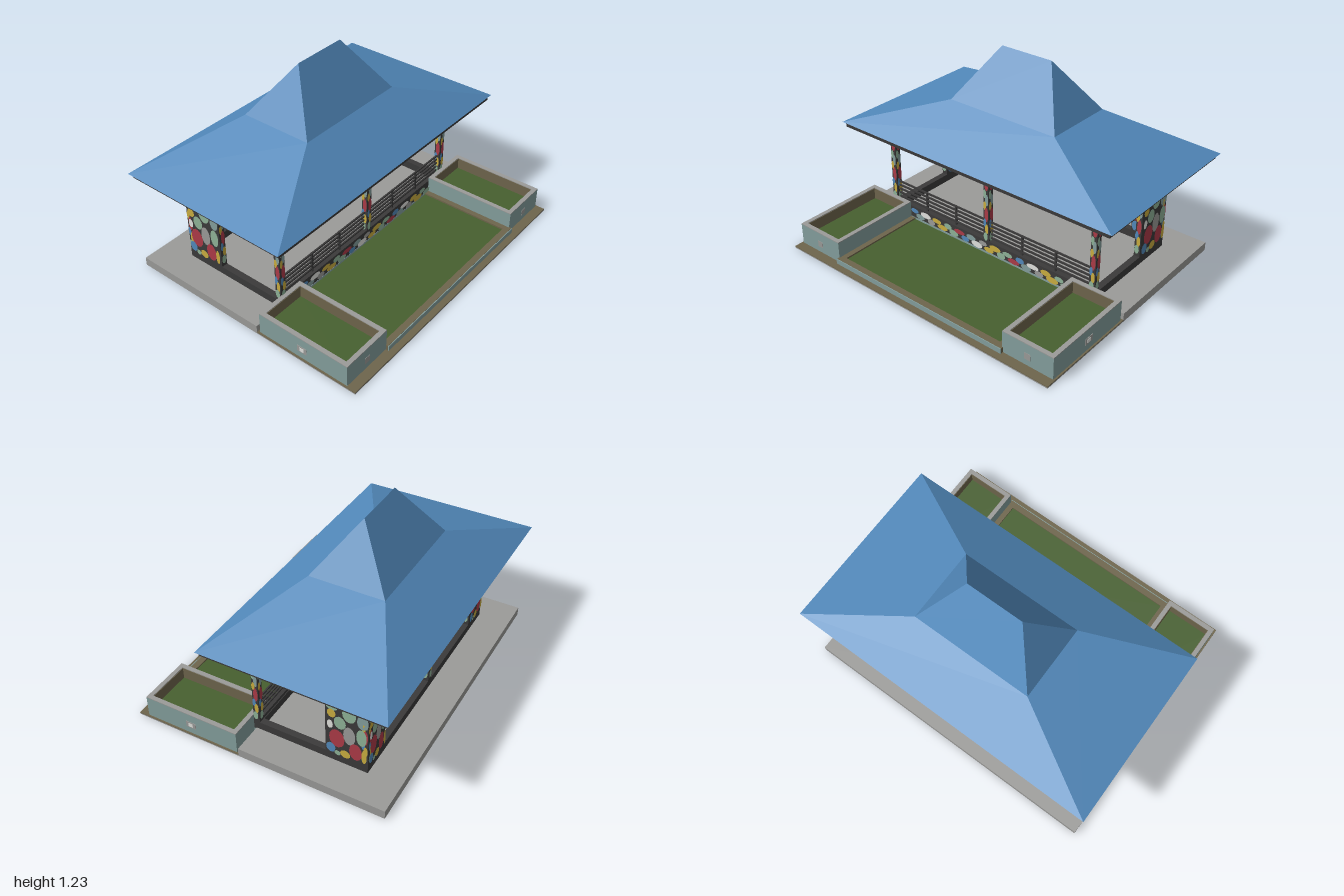
import * as THREE from 'three';
import { mergeGeometries } from 'three/addons/utils/BufferGeometryUtils.js';

const COLOURS = {
  blue: 0x5289bb, charcoal: 0x3b3a3a, teal: 0x849f9d, grey: 0x9b9b99, grass: 0x47602f,
  earth: 0x6e654c, red: 0xad3b48, yellow: 0xcbae40, sage: 0x8fb398, white: 0xe2e2de,
};

export function createModel() {
  const model = new THREE.Group();
  model.name = 'gardenPavilion';
  const mats = {};
  for (const [name, color] of Object.entries(COLOURS)) {
    mats[name] = new THREE.MeshStandardMaterial({ color });
    mats[name].name = name;
  }

  const add = (name, geometry, colour) => {
    const mesh = new THREE.Mesh(geometry, mats[colour]);
    mesh.name = name;
    model.add(mesh);
    return mesh;
  };
  // Box given by its limits on each axis
  const box = (name, colour, x0, x1, y0, y1, z0, z1) =>
    add(name, new THREE.BoxGeometry(x1 - x0, y1 - y0, z1 - z0)
      .translate((x0 + x1) / 2, (y0 + y1) / 2, (z0 + z1) / 2), colour);
  // Rectangular frame lying flat, with wall thickness t
  const ring = (name, colour, x0, x1, y0, y1, z0, z1, t) => {
    const rect = (a, b, c, d) => [[a, c], [b, c], [b, d], [a, d]].map((p) => new THREE.Vector2(...p));
    const shape = new THREE.Shape(rect(x0, x1, -z1, -z0));
    shape.holes.push(new THREE.Path(rect(x0 + t, x1 - t, -z1 + t, -z0 - t).reverse()));
    const g = new THREE.ExtrudeGeometry(shape, { depth: y1 - y0, bevelEnabled: false });
    return add(name, g.rotateX(-Math.PI / 2).translate(0, y0, 0), colour);
  };

  // Mosaic stones, gathered by colour and merged at the end
  const stones = {};
  const mosaic = (list, x, z, width, turn) => {
    list.forEach(([u, y, ru, ry, colour], i) => {
      const g = new THREE.CircleGeometry(1, 14).scale(ru * width, ry, 1)
        .translate((u - 0.5) * width, y, 0.0015 + i * 0.0003).rotateY(turn).translate(x, 0, z);
      (stones[colour] ??= []).push(g);
    });
  };
  const PANEL = [
    [0.84, 0.52, 0.14, 0.045, 'sage'], [0.16, 0.45, 0.14, 0.03, 'sage'],
    [0.56, 0.43, 0.16, 0.055, 'sage'], [0.86, 0.41, 0.12, 0.05, 'teal'],
    [0.38, 0.51, 0.19, 0.06, 'red'], [0.15, 0.4, 0.1, 0.03, 'yellow'],
    [0.66, 0.495, 0.06, 0.025, 'white'], [0.35, 0.35, 0.14, 0.045, 'sage'],
    [0.85, 0.3, 0.12, 0.06, 'sage'], [0.28, 0.23, 0.18, 0.065, 'red'],
    [0.57, 0.28, 0.14, 0.065, 'grey'], [0.12, 0.32, 0.07, 0.03, 'white'],
    [0.72, 0.18, 0.15, 0.06, 'red'], [0.14, 0.15, 0.11, 0.035, 'blue'],
    [0.48, 0.135, 0.12, 0.028, 'yellow'], [0.92, 0.17, 0.06, 0.05, 'yellow'],
    [0.3, 0.125, 0.07, 0.018, 'sage'],
  ];
  const STRIP = [
    [0.6, 0.52, 0.38, 0.045, 'red'], [0.3, 0.45, 0.28, 0.03, 'sage'], [0.68, 0.41, 0.3, 0.04, 'teal'],
    [0.3, 0.37, 0.28, 0.03, 'yellow'], [0.6, 0.31, 0.36, 0.05, 'red'], [0.3, 0.25, 0.28, 0.03, 'blue'],
    [0.65, 0.21, 0.32, 0.035, 'yellow'], [0.45, 0.155, 0.4, 0.03, 'sage'],
  ];
  // Upright block faced with mosaic on all four sides
  const mosaicBlock = (name, x0, x1, z0, z1) => {
    box(name, 'charcoal', x0, x1, 0.1, 0.575, z0, z1);
    const w = x1 - x0, d = z1 - z0, cx = (x0 + x1) / 2, cz = (z0 + z1) / 2;
    const pick = (size) => (size > 0.1 ? PANEL : STRIP);
    mosaic(pick(w), cx, z1, w, 0);
    mosaic(pick(w), cx, z0, w, Math.PI);
    mosaic(pick(d), x1, cz, d, Math.PI / 2);
    mosaic(pick(d), x0, cz, d, -Math.PI / 2);
  };

  // Floor slab and front ground
  box('floorSlab', 'grey', -0.98, 0.98, 0, 0.055, -0.8, 0.11);
  box('frontGround', 'grey', -0.98, 0.98, 0, 0.007, 0.11, 0.8);
  box('groundSurface', 'earth', -0.98, 0.98, 0.007, 0.012, 0.11, 0.8);
  ring('lowKerb', 'charcoal', -0.79, 0.79, 0.055, 0.105, -0.6, 0.12, 0.04);

  // Lawn with its border
  box('lawn', 'grass', -0.6, 0.6, 0.012, 0.035, 0.125, 0.716);
  for (const s of [-1, 1]) box('lawnSideBorder', 'earth', s * 0.62 - 0.02, s * 0.62 + 0.02, 0.01, 0.045, 0.125, 0.755);
  box('lawnFrontBorder', 'earth', -0.6, 0.6, 0.01, 0.045, 0.715, 0.755);
  box('borderFace', 'teal', -0.64, 0.64, 0.008, 0.044, 0.755, 0.76);

  // Planters with side lamps
  for (const s of [-1, 1]) {
    const a = s > 0 ? 0.635 : -0.97, b = a + 0.335;
    ring('planterWall', 'teal', a, b, 0.01, 0.147, 0.125, 0.74, 0.026);
    ring('planterRim', 'grey', a, b, 0.147, 0.152, 0.125, 0.74, 0.028);
    ring('planterLining', 'earth', a + 0.025, b - 0.025, 0.012, 0.147, 0.15, 0.715, 0.006);
    box('planterGrass', 'grass', a + 0.028, b - 0.028, 0.012, 0.075, 0.153, 0.712);
    const side = s * 0.971, mid = s * 0.803;
    box('lampPlate', 'grey', side - 0.002, side + 0.002, 0.055, 0.095, 0.4, 0.465);
    box('lampGlass', 'white', side - 0.004, side + 0.004, 0.063, 0.087, 0.418, 0.447);
    box('frontLampPlate', 'grey', mid - 0.02, mid + 0.02, 0.05, 0.09, 0.739, 0.742);
  }

  // Front parapet with two rows of pebbles
  box('parapetBase', 'teal', -0.79, 0.79, 0.012, 0.048, 0.11, 0.127);
  box('parapet', 'charcoal', -0.79, 0.79, 0.048, 0.125, 0.085, 0.125);
  const cycle = ['blue', 'sage', 'yellow', 'grey', 'teal', 'red', 'sage', 'yellow', 'white'];
  const pebbles = [];
  for (let i = 0; i < 26; i++) {
    const low = i % 2;
    pebbles.push([0.5 + (-0.6 + i * 0.048) / 1.58, low ? 0.069 : 0.097,
      (0.032 + (i % 3) * 0.006) / 1.58, 0.017 + (i % 4) * 0.0015, cycle[(i * 4) % 9]]);
  }
  mosaic(pebbles, 0, 0.125, 1.58, 0);

  // Railing
  for (let i = 0; i < 5; i++) {
    const y = 0.145 + i * 0.0275;
    box('railBar', 'charcoal', -0.76, 0.76, y - 0.005, y + 0.005, 0.1, 0.11);
  }
  for (const x of [-0.505, -0.26, 0.26, 0.505]) box('railPost', 'charcoal', x - 0.006, x + 0.006, 0.12, 0.26, 0.099, 0.111);

  // Posts and L-shaped rear corner piers
  for (const x of [-0.77, 0, 0.77]) mosaicBlock('frontPost', x - 0.02, x + 0.02, 0.085, 0.125);
  mosaicBlock('rearPost', -0.02, 0.02, -0.6, -0.56);
  for (const s of [-1, 1]) {
    const a = s > 0 ? 0.59 : -0.79;
    mosaicBlock('rearPier', a, a + 0.2, -0.6, -0.56);
    mosaicBlock('sidePier', s * 0.77 - 0.02, s * 0.77 + 0.02, -0.6, -0.34);
  }
  for (const [colour, list] of Object.entries(stones)) add(colour + 'Stones', mergeGeometries(list), colour);

  // Hanging picture board
  box('boardFrame', 'grey', 0.2, 0.36, 0.495, 0.565, -0.592, -0.58);
  for (const [z, turn] of [[-0.578, 0], [-0.594, Math.PI]]) {
    const hill = new THREE.CircleGeometry(1, 16, 0, Math.PI).scale(0.038, 0.03, 1);
    add('boardHill', hill.rotateY(turn).translate(0.28, 0.503, z), 'grass');
  }

  // Ring beam, soffit and fascia
  ring('ringBeam', 'teal', -0.79, 0.79, 0.57, 0.65, -0.6, 0.125, 0.045);
  box('soffit', 'grey', -0.975, 0.975, 0.647, 0.651, -0.785, 0.305);
  box('fascia', 'charcoal', -0.98, 0.98, 0.65, 0.678, -0.79, 0.31);
  add('eavesUnderside', new THREE.PlaneGeometry(2, 1.13).rotateX(Math.PI / 2).translate(0, 0.68, -0.243), 'charcoal');

  // Two-pitch hipped roof, lofted through rectangular levels: half width, back z, front z, y
  const levels = [[1, -0.808, 0.322, 0.68], [0.385, -0.475, -0.01, 0.9], [0.18, -0.24, -0.24, 1.225]];
  const corners = levels.map(([x, zb, zf, y]) => [[-x, y, zf], [x, y, zf], [x, y, zb], [-x, y, zb]]);
  const points = [];
  for (let l = 0; l < 2; l++) {
    for (let i = 0; i < 4; i++) {
      const j = (i + 1) % 4;
      const [a, b, c, d] = [corners[l][i], corners[l][j], corners[l + 1][j], corners[l + 1][i]];
      points.push(...a, ...b, ...c);
      if (c[0] !== d[0] || c[2] !== d[2]) points.push(...a, ...c, ...d);
    }
  }
  const roof = new THREE.BufferGeometry();
  roof.setAttribute('position', new THREE.Float32BufferAttribute(points, 3));
  roof.computeVertexNormals();
  add('roof', roof, 'blue');

  return model;
}
